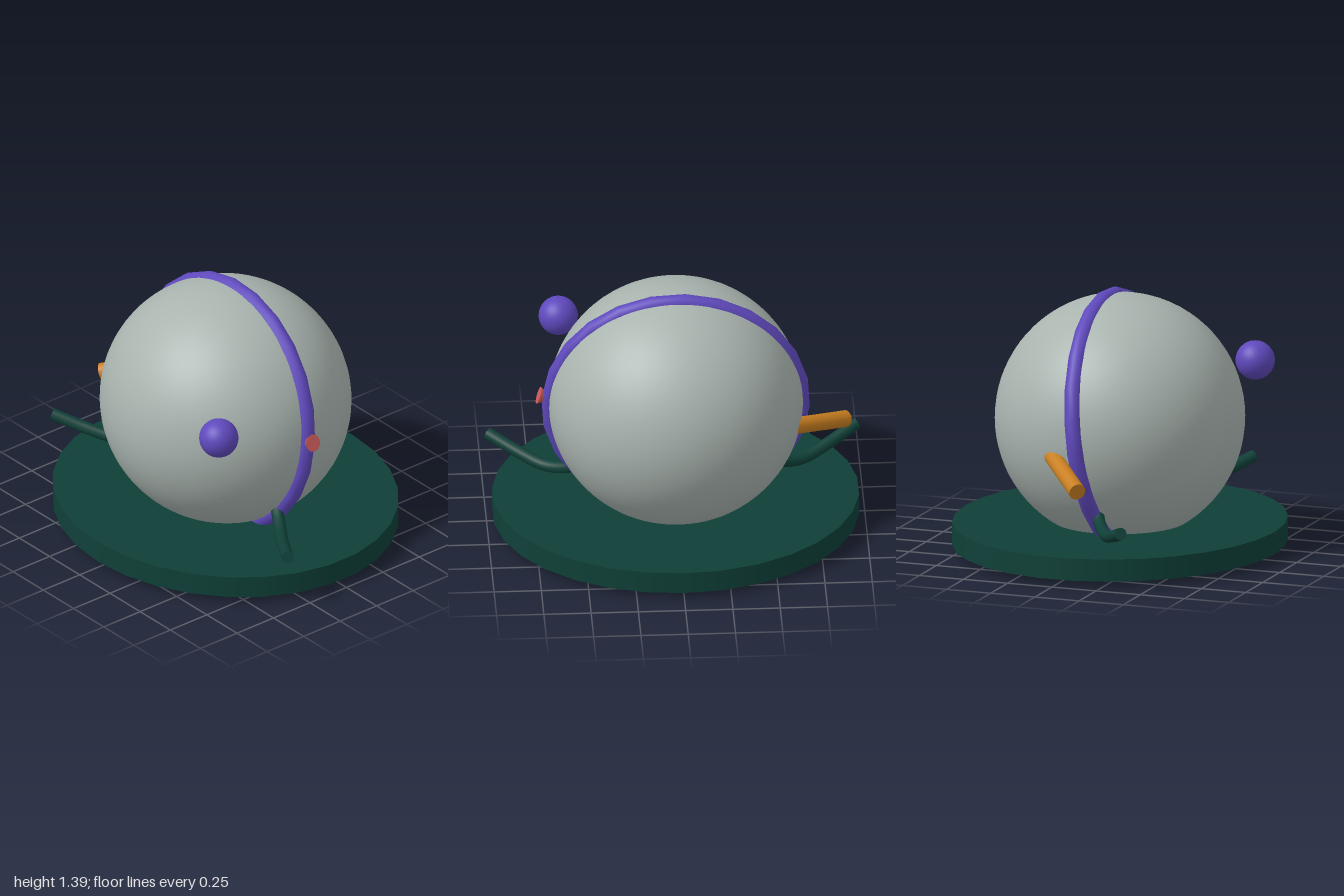
import * as THREE from 'three';

const mat = (name, color) => {
  const m = new THREE.MeshStandardMaterial({ color });
  m.name = name;
  return m;
};

export function createModel() {
  const grey = mat('pale grey', 0xa9b4af);
  const green = mat('dark green', 0x0f4038);
  const purple = mat('purple', 0x5f49bd);
  const orange = mat('orange', 0xc97f20);
  const coral = mat('coral', 0xcf5c5c);

  const model = new THREE.Group();
  model.name = 'model';
  const add = (name, geometry, material, x = 0, y = 0, z = 0, parent = model) => {
    const mesh = new THREE.Mesh(geometry, material);
    mesh.name = name;
    mesh.position.set(x, y, z);
    parent.add(mesh);
    return mesh;
  };
  const aim = (mesh, axis, direction) =>
    mesh.quaternion.setFromUnitVectors(axis, direction.clone().normalize());
  const Y = new THREE.Vector3(0, 1, 0);
  const Z = new THREE.Vector3(0, 0, 1);

  // Round body, slightly wider than deep
  add('body', new THREE.SphereGeometry(0.66, 64, 40), grey, 0, 0.716, 0).scale.x = 1.02;

  // Flat oval base
  add('base', new THREE.CylinderGeometry(0.875, 0.875, 0.12, 30), green, 0, 0.103, 0).scale.x = 1.109;

  // Tilted hoop around the body
  const hoop = add('hoop', new THREE.TorusGeometry(0.655, 0.046, 12, 24), purple, 0, 0.703, 0);
  hoop.rotation.set(-0.118, 0, 0.07);
  hoop.scale.x = 1.015;

  // Floating ball
  add('ball', new THREE.SphereGeometry(0.104, 32, 20), purple, 0.592, 0.94, 0.537);

  // Small cone on the hoop, base outward
  const outward = new THREE.Vector3(0.94, 0.34, 0);
  const cone = add('knob', new THREE.ConeGeometry(0.047, 0.083, 12), coral, 0.685, 0.753, 0);
  aim(cone, Y, outward.clone().negate());

  // Straight spout
  const inner = new THREE.Vector3(-0.55, 0.645, -0.2);
  const outer = new THREE.Vector3(-0.905, 0.512, 0.107);
  const run = outer.clone().sub(inner);
  const mid = inner.clone().add(outer).multiplyScalar(0.5);
  const spout = add('spout', new THREE.CylinderGeometry(0.045, 0.045, run.length(), 16), orange, mid.x, mid.y, mid.z);
  aim(spout, Y, run);

  // Pair of curved arms with closed tips
  for (const [name, s] of [['leftArm', 1], ['rightArm', -1]]) {
    const arm = new THREE.Group();
    arm.name = name;
    model.add(arm);
    const path = new THREE.CatmullRomCurve3([
      [0.47, 0.335, 0.05], [0.56, 0.268, 0.1], [0.68, 0.236, 0.18], [0.82, 0.268, 0.275], [0.975, 0.323, 0.38],
    ].map(([x, y, z]) => new THREE.Vector3(s * x, y, z)));
    add(name + 'Tube', new THREE.TubeGeometry(path, 24, 0.033, 12), green, 0, 0, 0, arm);
    const tip = path.getPoint(1);
    const cap = add(name + 'Tip', new THREE.CircleGeometry(0.033, 12), green, tip.x, tip.y, tip.z, arm);
    aim(cap, Z, path.getTangent(1));
  }

  return model;
}
